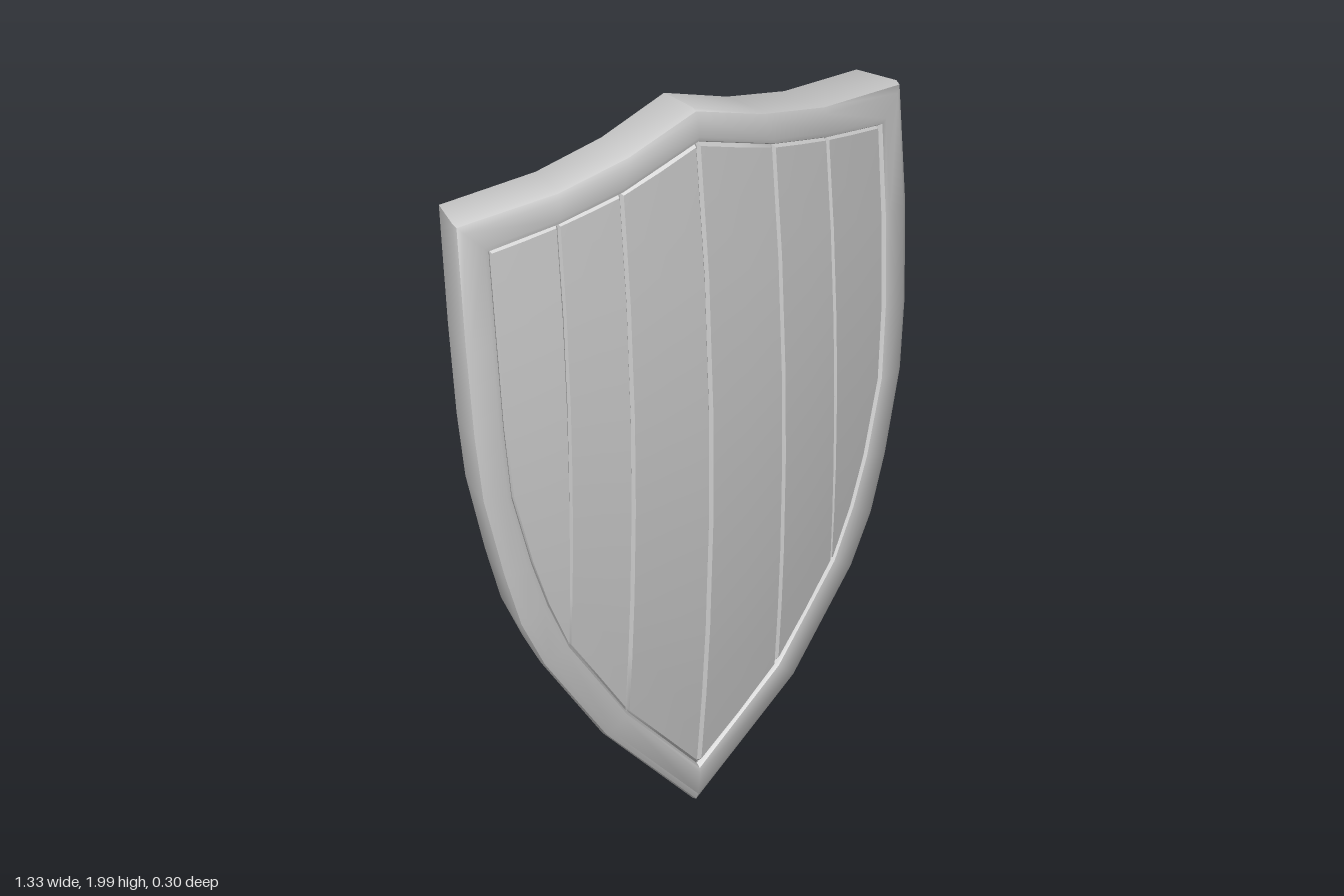
import * as THREE from 'three';
import { toCreasedNormals } from 'three/addons/utils/BufferGeometryUtils.js';

const DEPTH = 0.163; // rim thickness
const CURVE_X = 0.24, CURVE_Y = 0.075, FRONT = 0.165; // bulge of the shield

// Half outline from top centre to bottom tip, outer and inner edge of the rim
const OUTER = [[0, 2], [0.2, 1.93], [0.4, 1.877], [0.672, 1.83], [0.667, 1.5], [0.652, 1.235],
  [0.631, 1.05], [0.577, 0.825], [0.53, 0.67], [0.465, 0.54], [0.285, 0.285], [0, 0]];
const INNER = [[0, 1.91], [0.23, 1.83], [0.405, 1.785], [0.587, 1.745], [0.581, 1.5], [0.57, 1.25],
  [0.552, 1.05], [0.5, 0.85], [0.455, 0.72], [0.395, 0.585], [0.225, 0.34], [0, 0.11]];

const mix = (a, b, t) => [a[0] + (b[0] - a[0]) * t, a[1] + (b[1] - a[1]) * t];

// Place a flat point on the bulged surface, pushed back by depth along the normal
function bend([x, y], depth) {
  const n = new THREE.Vector3(2 * CURVE_X * x, 2 * CURVE_Y * (y - 1), 1).normalize();
  const z = FRONT - CURVE_X * x * x - CURVE_Y * (y - 1) ** 2;
  return new THREE.Vector3(x, y, z).addScaledVector(n, -depth);
}

// Skin a list of equally long sections; returns positions and indices
function skin(sections, closed, out = { pos: [], idx: [] }) {
  const base = out.pos.length / 3, n = sections[0].length, m = sections.length;
  sections.flat().forEach(p => out.pos.push(p.x, p.y, p.z));
  for (let i = 0; i < (closed ? m : m - 1); i++) {
    for (let j = 0; j < (closed ? n : n - 1); j++) {
      const i2 = (i + 1) % m, j2 = (j + 1) % n;
      const a = base + i * n + j, b = base + i * n + j2;
      const c = base + i2 * n + j2, d = base + i2 * n + j;
      out.idx.push(a, b, c, a, c, d);
    }
  }
  return out;
}

function makeMesh({ pos, idx }, name) {
  const geo = new THREE.BufferGeometry();
  geo.setAttribute('position', new THREE.Float32BufferAttribute(pos, 3));
  geo.setIndex(idx);
  const mesh = new THREE.Mesh(toCreasedNormals(geo, 0.7),
    new THREE.MeshStandardMaterial({ color: 0xcccccc }));
  mesh.name = name;
  return mesh;
}

// Rim: rounded section swept round the outline with mitred corners
function makeRim() {
  const D = DEPTH;
  const section = [[0, 0.022], [0.07, 0.007], [0.25, 0], [0.82, 0], [0.95, 0.004], [1, 0.014],
    [1, D - 0.014], [0.95, D - 0.004], [0.82, D], [0.14, D], [0.04, D - 0.004], [0, D - 0.012]];
  const mirror = list => [...list, ...list.slice(1, -1).reverse().map(([x, y]) => [-x, y])];
  const outer = mirror(OUTER), inner = mirror(INNER);
  return makeMesh(skin(outer.map((o, i) =>
    section.map(([t, d]) => bend(mix(o, inner[i], t), d))), true), 'rim');
}

// Rows up a plank match the points on the inner side of the rim
const side = INNER.slice(3, 10).reverse();
const sideRows = side.map(p => (p[1] - side[0][1]) / (side[6][1] - side[0][1]));
const ROWS = [0, 0.006, ...sideRows.slice(1, -1), 0.994, 1];

// Point at height fraction s on the curved side of the panel
function sidePoint(s) {
  let k = 0;
  while (k < 5 && s > sideRows[k + 1]) k++;
  return mix(side[k], side[k + 1], (s - sideRows[k]) / (sideRows[k + 1] - sideRows[k]));
}

// Plank: bulged front and back faces, their borders dipping into thin grooves
function makePlank(left, right, name) {
  const cols = [0, 0.03, 0.5, 0.97, 1];
  const face = (depth, dip) => cols.map((t, i) => ROWS.map((s, j) => {
    const border = i === 0 || i === cols.length - 1 || j === 0 || j === ROWS.length - 1;
    return bend(mix(left(s), right(s), t), depth + (border ? dip : 0));
  }));
  const data = skin(face(0.01, 0.01).reverse(), false);
  skin(face(DEPTH - 0.01, -0.01), false, data);
  return makeMesh(data, name);
}

export function createModel() {
  const group = new THREE.Group();
  group.name = 'shield';
  group.add(makeRim());

  // Seams from the centre line out to the curved side
  const half = [[11, 0], [10, 1], [9, 2]].map(([lo, hi]) => s => mix(INNER[lo], INNER[hi], s));
  half.push(sidePoint);
  const flip = f => s => [-f(s)[0], f(s)[1]];
  const names = ['inner', 'middle', 'outer'];
  const planks = new THREE.Group();
  planks.name = 'planks';
  for (let i = 0; i < 3; i++) {
    planks.add(makePlank(half[i], half[i + 1], names[i] + 'PlankLeft'));
    planks.add(makePlank(flip(half[i + 1]), flip(half[i]), names[i] + 'PlankRight'));
  }
  group.add(planks);
  return group;
}
